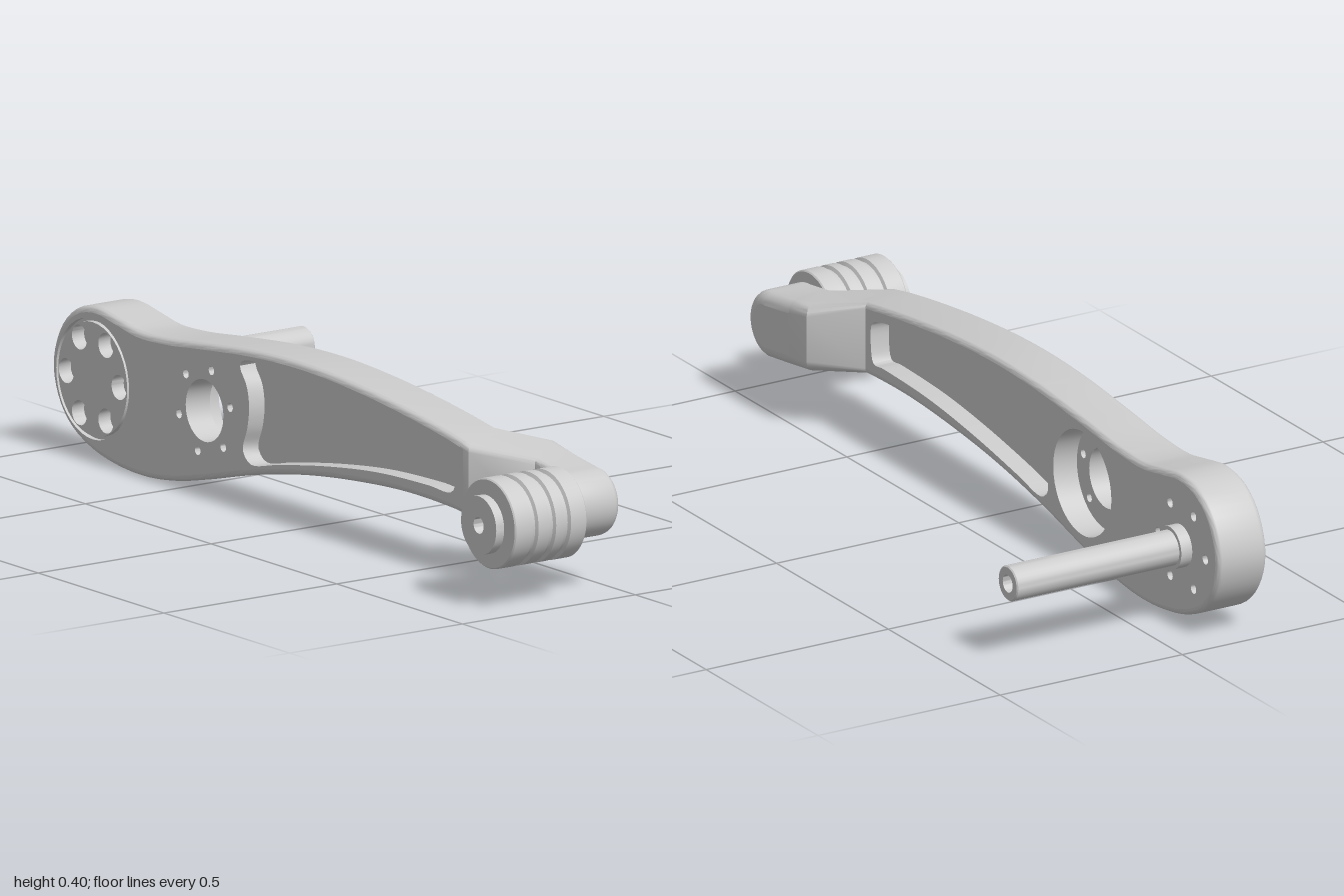
import * as THREE from 'three';
import { toCreasedNormals } from 'three/addons/utils/BufferGeometryUtils.js';

const material = new THREE.MeshStandardMaterial({ color: 0xcccccc, side: THREE.DoubleSide });
const V2 = (x, y) => new THREE.Vector2(x, y);
const BACK = 0.1, FRONT = 0.235;

function add(parent, name, geometry, crease = 0.6) {
  const mesh = new THREE.Mesh(toCreasedNormals(geometry, crease), material);
  mesh.name = name;
  parent.add(mesh);
}

// Skin between successive rings of Vector3
function loft(rings, closed) {
  const n = rings[0].length, index = [];
  for (let k = 0; k < rings.length - 1; k++) {
    for (let i = 0; i < (closed ? n : n - 1); i++) {
      const j = (i + 1) % n, a = k * n + i, b = k * n + j;
      index.push(a, b, b + n, a, b + n, a + n);
    }
  }
  const g = new THREE.BufferGeometry().setFromPoints(rings.flat());
  g.setIndex(index);
  return g;
}

const atZ = (pts, z) => pts.map(p => new THREE.Vector3(p.x, p.y, z));
const hole = (pts, zFrom, zTo) => loft([atZ(pts, zFrom), atZ(pts, zTo)], true);

// Flat face with holes
function face(pts, holes, z, facesBack) {
  const shape = new THREE.Shape(pts);
  shape.holes = holes.map(h => new THREE.Path(h));
  const g = new THREE.ShapeGeometry(shape).translate(0, 0, z);
  if (facesBack) g.setIndex(Array.from(g.index.array).reverse());
  return g;
}

function circle(x, y, r, n = 40) {
  return Array.from({ length: n }, (_, i) => {
    const a = i / n * Math.PI * 2;
    return V2(x + r * Math.cos(a), y + r * Math.sin(a));
  });
}

function boltCircle(x, y, r, startDeg) {
  return Array.from({ length: 6 }, (_, i) => {
    const a = (startDeg + i * 60) * Math.PI / 180;
    return [x + r * Math.cos(a), y + r * Math.sin(a)];
  });
}

// Turned part along z, profile given as [radius, z]
function turned(profile, x, y, n = 40) {
  return new THREE.LatheGeometry(profile.map(p => V2(...p)), n)
    .rotateX(Math.PI / 2).translate(x, y, 0);
}

const spline = (pts, closed, n) => {
  const c = new THREE.CatmullRomCurve3(pts.map(p => new THREE.Vector3(p[0], p[1], 0)), closed);
  const out = c.getSpacedPoints(n).map(p => V2(p.x, p.y));
  if (closed) out.pop();
  return out;
};

// Contour moved inward by d
function inset(pts, d) {
  return pts.map((p, i) => {
    const t = pts[Math.min(i + 1, pts.length - 1)].clone().sub(pts[Math.max(i - 1, 0)]).normalize();
    return V2(p.x - t.y * d, p.y + t.x * d);
  });
}

// Slab with rounded rims, open where it runs into the crank
function slab(parent, name, pts, z0, z1, r0, r1, backHoles, frontHoles) {
  const rings = [], steps = 5;
  for (let i = 0; i <= steps; i++) {
    const a = i / steps * Math.PI / 2;
    rings.push(atZ(inset(pts, r0 * (1 - Math.sin(a))), z0 + r0 * (1 - Math.cos(a))));
  }
  for (let i = 0; i <= steps; i++) {
    const a = i / steps * Math.PI / 2;
    rings.push(atZ(inset(pts, r1 * (1 - Math.cos(a))), z1 - r1 * (1 - Math.sin(a))));
  }
  add(parent, name + 'Rim', loft(rings, false));
  add(parent, name + 'BackFace', face(inset(pts, r0), backHoles, z0, true));
  add(parent, name + 'FrontFace', face(inset(pts, r1), frontHoles, z1, false));
}

// Height of the arm's edges along the crank
function lerpTable(table, x) {
  let i = 0;
  while (i < table.length - 2 && x > table[i + 1][0]) i++;
  const [x0, y0] = table[i], [x1, y1] = table[i + 1];
  return y0 + (y1 - y0) * (x - x0) / (x1 - x0);
}
const topY = x => lerpTable([[0.58, 0.342], [0.64, 0.33], [0.78, 0.303], [0.87, 0.29]], x);
const bottomY = x => lerpTable([[0.58, 0.162], [0.64, 0.157], [0.78, 0.137], [0.87, 0.125]], x);

// Rounded cross-section of the crank, skewed between its back and front x
function crankRing([xB, xF, zB, zF, rB, rF]) {
  const ring = [];
  for (let c = 0; c < 4; c++) {
    const back = c === 0 || c === 3, top = c < 2, r = back ? rB : rF;
    for (let i = 0; i <= 5; i++) {
      const a = Math.PI * (1 - c / 2 - i / 10);
      const z = (back ? zB + r : zF - r) + r * Math.cos(a);
      const x = xB + (xF - xB) * (z - zB) / (zF - zB);
      const y = (top ? topY(x) - r : bottomY(x) + r) + r * Math.sin(a);
      ring.push(new THREE.Vector3(x, y, z));
    }
  }
  return ring;
}

export function createModel() {
  const group = new THREE.Group();
  group.name = 'rollerArm';

  const outline = spline([
    [0.64, 0.33], [0.58, 0.342], [0.4, 0.368], [0.2, 0.388], [0, 0.397], [-0.2, 0.39], [-0.4, 0.37],
    [-0.55, 0.353], [-0.66, 0.35], [-0.74, 0.363], [-0.83, 0.375], [-0.91, 0.355], [-0.97, 0.3],
    [-1, 0.21], [-0.98, 0.13], [-0.93, 0.07], [-0.85, 0.03], [-0.75, 0.008], [-0.64, 0.002],
    [-0.52, 0.014], [-0.4, 0.04], [-0.2, 0.09], [0, 0.128], [0.2, 0.152], [0.4, 0.165],
    [0.58, 0.162], [0.64, 0.157]], false, 150);
  const pocket = spline([
    [-0.235, 0.36], [-0.1, 0.366], [0.1, 0.362], [0.3, 0.345], [0.5, 0.317], [0.595, 0.301],
    [0.612, 0.285], [0.606, 0.22], [0.59, 0.202], [0.5, 0.202], [0.3, 0.194], [0.1, 0.17],
    [-0.1, 0.135], [-0.195, 0.115], [-0.218, 0.12], [-0.238, 0.145], [-0.22, 0.2], [-0.213, 0.25],
    [-0.222, 0.3], [-0.25, 0.345]].reverse(), true, 140);
  const backPocket = pocket.map(p => V2(p.x > 0.5 ? 0.5 + (p.x - 0.5) * 0.5 : p.x, p.y));

  // Hole layout
  const PX = -0.835, PY = 0.2, HX = -0.39, HY = 0.21, hubFloor = 0.165;
  const pivotBolts = boltCircle(PX, PY, 0.105, 0);
  const hubBolts = boltCircle(HX, HY, 0.105, 15);
  const bore = circle(HX, HY, 0.075), counterbore = circle(HX, HY, 0.13);
  const hubBoltHoles = hubBolts.map(([x, y]) => circle(x, y, 0.011, 14));

  slab(group, 'arm', outline, BACK, FRONT, 0.015, 0.015,
    [backPocket, counterbore, ...pivotBolts.map(([x, y]) => circle(x, y, 0.012, 20))],
    [pocket, bore, circle(PX, PY, 0.145), ...hubBoltHoles]);

  // Pockets on both sides of the web
  add(group, 'frontPocketWall', hole(pocket, FRONT, 0.19));
  add(group, 'frontPocketFloor', face(pocket, [], 0.19, false));
  add(group, 'backPocketWall', hole(backPocket, 0.15, BACK));
  add(group, 'backPocketFloor', face(backPocket, [], 0.15, true));

  // Hub bore with counterbore behind
  add(group, 'hubBore', hole(bore, FRONT, hubFloor));
  add(group, 'hubCounterbore', hole(counterbore, hubFloor, BACK));
  add(group, 'hubFloor', face(counterbore, [bore, ...hubBoltHoles], hubFloor, true));
  hubBoltHoles.forEach(h => add(group, 'hubBoltHole', hole(h, FRONT, hubFloor)));

  // Flush pivot disc in a thin groove, with stepped bolt holes
  add(group, 'pivotGroove', turned([[0.137, FRONT], [0.137, 0.222], [0.145, 0.222], [0.145, FRONT]].reverse(), PX, PY));
  add(group, 'pivotDisc', face(circle(PX, PY, 0.137),
    pivotBolts.map(([x, y]) => circle(x, y, 0.03, 20)), FRONT, false));
  pivotBolts.forEach(([x, y]) => add(group, 'pivotBoltHole',
    turned([[0.03, FRONT], [0.03, 0.2], [0.012, 0.2], [0.012, BACK]], x, y, 20)));

  // Hollow axle with collar
  add(group, 'axle', turned([[0, -0.3], [0.022, -0.3], [0.022, -0.375], [0.04, -0.375], [0.043, -0.372],
    [0.043, 0.07], [0.052, 0.07], [0.052, 0.11]], -0.83, 0.2, 32));

  // Crank stepping backward, and its rounded end
  add(group, 'crank', loft([
    [0.58, 0.625, 0.1, 0.235, 0.015, 0.015],
    [0.58, 0.66, 0.1, 0.235, 0.015, 0.015],
    [0.68, 0.78, 0, 0.13, 0.03, 0.012],
    [0.76, 0.8, 0, 0.13, 0.03, 0.012]].map(crankRing), true));
  const end = [V2(0.72, bottomY(0.72)), V2(0.78, bottomY(0.78))];
  for (let i = 0; i <= 24; i++) {
    const a = (i / 24 - 0.5) * Math.PI;
    end.push(V2(0.87 + 0.0825 * Math.cos(a), 0.2075 + 0.0825 * Math.sin(a)));
  }
  end.push(V2(0.78, topY(0.78)), V2(0.72, topY(0.72)));
  slab(group, 'crankEnd', end, 0, 0.13, 0.03, 0.012, [], []);

  // Grooved roller with end cap
  const R = 0.108;
  const profile = [[0.045, 0.12], [0.045, 0.137], [R - 0.003, 0.137], [R, 0.14]];
  for (const z of [0.193, 0.236, 0.287]) {
    profile.push([R, z - 0.009], [R - 0.008, z - 0.005], [R - 0.008, z + 0.005], [R, z + 0.009]);
  }
  profile.push([R, 0.342], [R - 0.003, 0.345], [0.06, 0.345], [0.06, 0.35], [0.07, 0.35],
    [0.07, 0.373], [0.02, 0.373], [0.02, 0.33], [0, 0.33]);
  add(group, 'roller', turned(profile, 0.89, 0.2, 48));

  return group;
}
